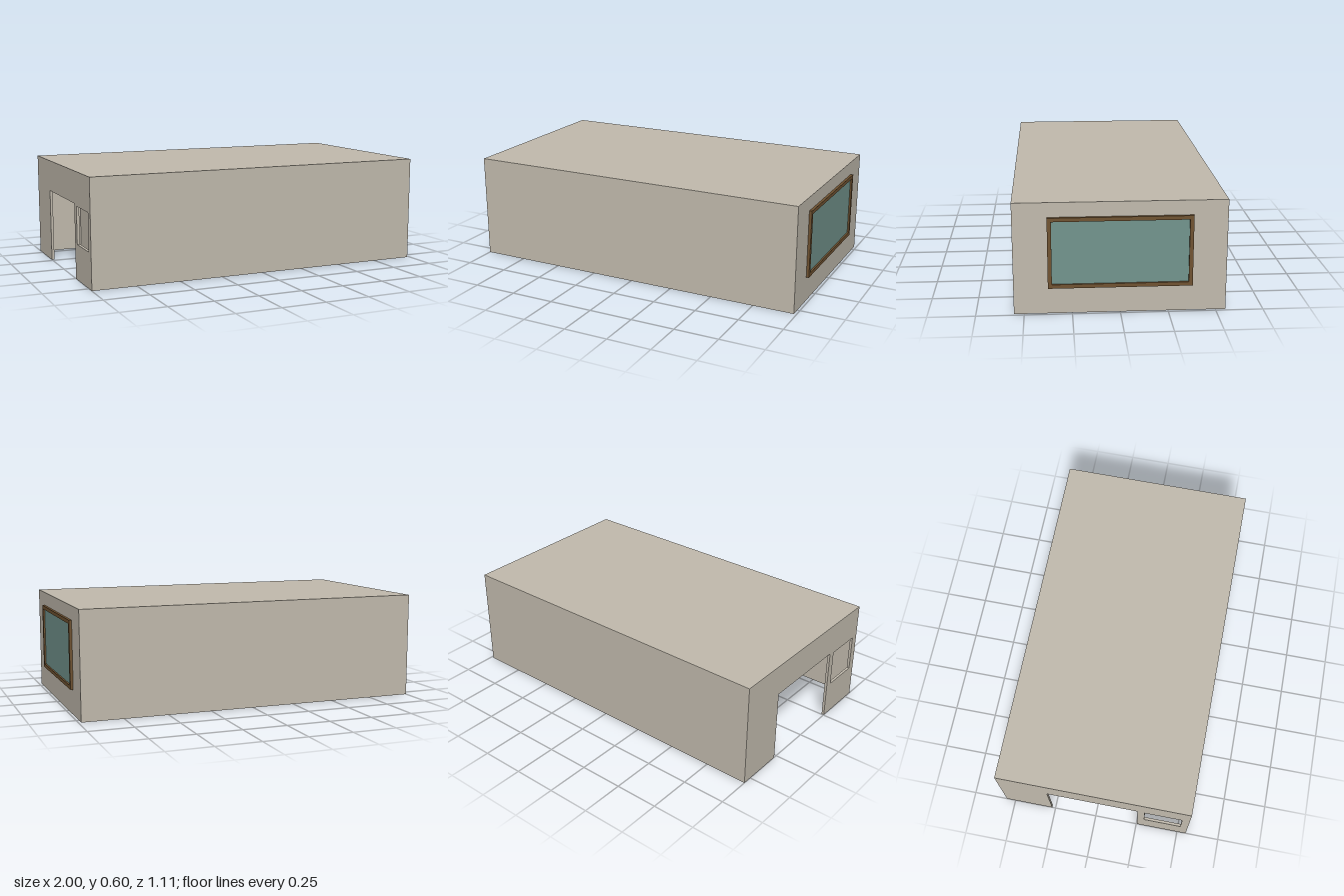
import * as THREE from 'three';

const T = 0.015; // wall thickness
const W = 0.985; // x of the right wall's outer face
const D = 0.553; // half depth
const H = 0.6;

export function createModel() {
  const group = new THREE.Group();
  const mat = (name, color) => {
    const m = new THREE.MeshStandardMaterial({ color });
    m.name = name;
    return m;
  };
  const plaster = mat('plaster', 0xc2bbae);
  const wood = mat('wood', 0x705331);
  const glass = mat('glass', 0x73958e);

  const add = (name, geometry, material) => {
    const mesh = new THREE.Mesh(geometry, material);
    mesh.name = name;
    group.add(mesh);
    return mesh;
  };
  // Box given by its lower and upper corners
  const box = (name, material, x0, x1, y0, y1, z0, z1) =>
    add(name, new THREE.BoxGeometry(x1 - x0, y1 - y0, z1 - z0), material)
      .position.set((x0 + x1) / 2, (y0 + y1) / 2, (z0 + z1) / 2);
  const rect = (Type, a, b, c, d) =>
    new Type([[a, c], [b, c], [b, d], [a, d]].map(p => new THREE.Vector2(...p)));
  // Wall outline with a doorway cut up from the floor
  const doorWall = (a, b, doorA, doorB, doorTop) =>
    new THREE.Shape([[a, 0], [doorA, 0], [doorA, doorTop], [doorB, doorTop], [doorB, 0],
      [b, 0], [b, H - T], [a, H - T]].map(p => new THREE.Vector2(...p)));
  const extrude = shape => new THREE.ExtrudeGeometry(shape, { depth: T, bevelEnabled: false });

  // Outer shell, open underneath
  box('ceiling', plaster, -1, W, H - T, H, -D, D);
  box('frontWall', plaster, -1, W, 0, H - T, D - T, D);
  box('backWall', plaster, -1, W, 0, H - T, -D, -D + T);
  box('windowWall', plaster, W - T, W, 0, H - T, -D + T, D - T);

  // Entrance wall with a doorway and a small opening
  const entrance = doorWall(-D + T, D - T, -0.27, 0.255, 0.42);
  entrance.holes.push(rect(THREE.Path, 0.295, 0.51, 0.2, 0.41));
  add('entranceWall', extrude(entrance).rotateY(-Math.PI / 2), plaster).position.x = -1 + T;

  // Small inner room against the back wall
  const zPart = -0.13;
  add('innerRoomDoorWall', extrude(doorWall(-0.742, -0.158, -0.61, -0.43, 0.42)), plaster)
    .position.z = zPart;
  for (const x of [-0.742, -0.173])
    box('innerRoomSideWall', plaster, x, x + T, 0, H - T, -D + T, zPart);

  // Table top below the window and a small wall shelf
  box('tableTop', plaster, 0.5, W - T, 0.185, 0.2, -0.195, 0.2);
  box('wallShelf', plaster, -0.13, 0.025, 0.103, 0.118, 0.46, D - T);

  // Large framed window
  const frame = rect(THREE.Shape, -0.375, 0.375, 0.142, 0.522);
  frame.holes.push(rect(THREE.Path, -0.354, 0.354, 0.163, 0.501));
  add('windowFrame', extrude(frame).rotateY(-Math.PI / 2), wood).position.x = 1;
  box('windowGlass', glass, W, W + 0.005, 0.163, 0.501, -0.354, 0.354);

  return group;
}
